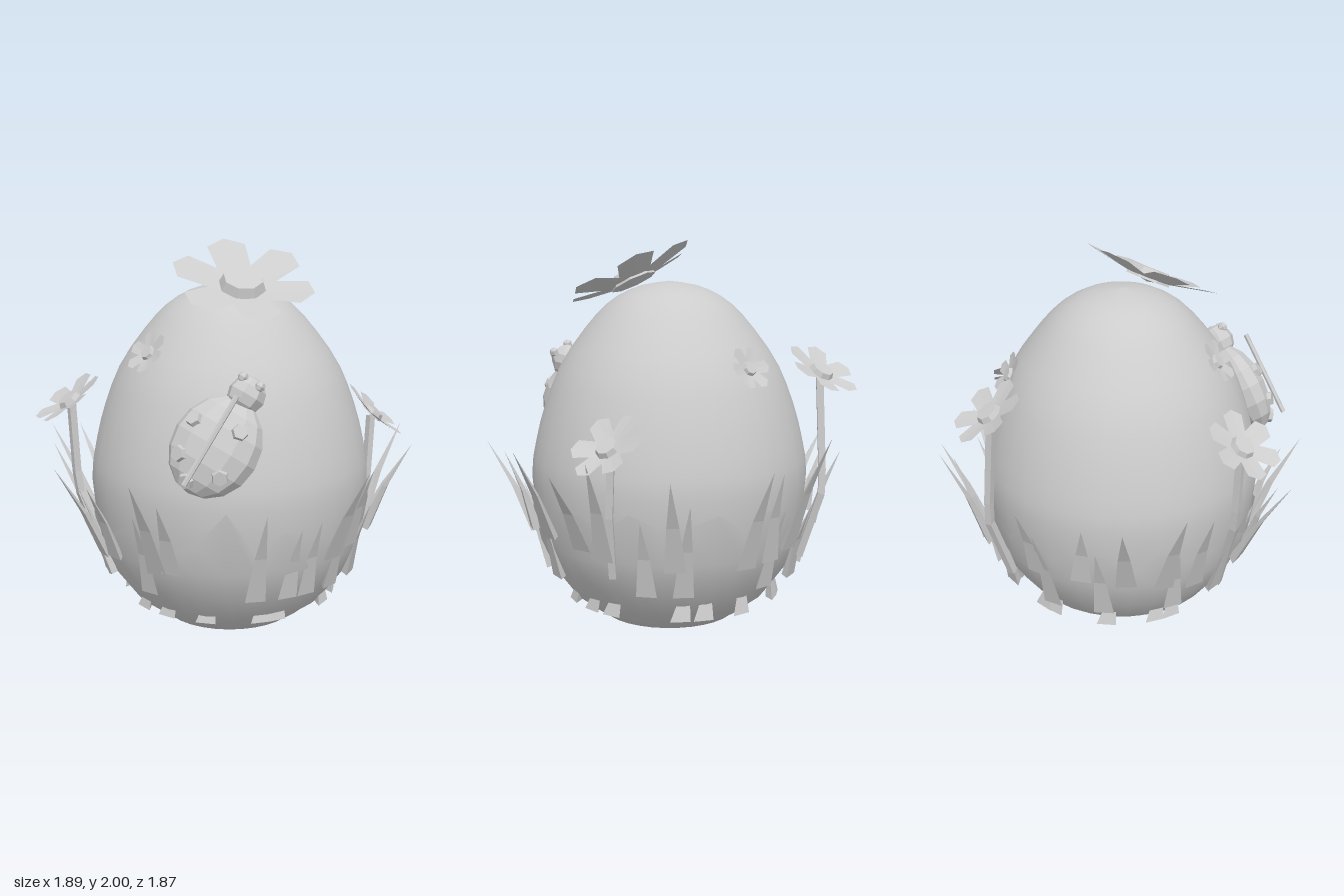
import * as THREE from 'three';

const grey = new THREE.MeshStandardMaterial({ color: 0xcccccc, side: THREE.DoubleSide });
grey.name = 'plain grey';
const V = (x, y, z) => new THREE.Vector3(x, y, z);
const UP = V(0, 1, 0);
const polar = (deg, r, y) => V(r * Math.sin(deg * Math.PI / 180), y, r * Math.cos(deg * Math.PI / 180));

// Faceted copy of a geometry
function flat(geo) {
  const g = geo.index ? geo.toNonIndexed() : geo;
  g.computeVertexNormals();
  return g;
}
function add(parent, name, geo, pos = V(0, 0, 0)) {
  const m = new THREE.Mesh(geo, grey);
  m.name = name;
  m.position.copy(pos);
  parent.add(m);
  return m;
}

// Egg profile: [radius, height]
const eggPoints = [[0, 0.01], [0.33, 0.08], [0.49, 0.2], [0.6, 0.35], [0.665, 0.5], [0.71, 0.8],
  [0.685, 1], [0.63, 1.2], [0.545, 1.4], [0.4, 1.6], [0.285, 1.71], [0.15, 1.775], [0, 1.8]];
const EGG_CENTRE = V(0.004, 0, 0.022);
function eggRadius(y) {
  const i = eggPoints.findIndex(p => p[1] >= y);
  const [r0, y0] = eggPoints[i - 1], [r1, y1] = eggPoints[i];
  return r0 + (r1 - r0) * (y - y0) / (y1 - y0);
}

// Leaf cup around the lower egg: its top row is moved to a ragged rim with one tall front leaf
function cupGeometry() {
  const cols = 32, ys = [0, 0.08, 0.2, 0.35, 0.5, 0.62];
  const geo = new THREE.LatheGeometry(
    ys.map((y, i) => new THREE.Vector2(i ? eggRadius(y) + 0.016 : 0, y)), cols);
  const p = geo.attributes.position;
  for (let i = ys.length - 1; i < p.count; i += ys.length) {
    const col = Math.floor(i / ys.length) % cols, deg = col * 360 / cols;
    const y = col === 1 ? 0.82 : 0.68 - 0.03 * Math.cos((deg + 40) * Math.PI / 180) + 0.05 * Math.sin(col * 2.4);
    p.setXYZ(i, ...polar(deg, eggRadius(y) + 0.02, y).toArray());
  }
  return geo;
}

// Three-sided grass blade, bowed in slightly between base and tip
function bladeGeometry(base, tip, width) {
  const geo = new THREE.CylinderGeometry(0.002, 1, 1, 3, 2);
  const out = V(base.x, 0, base.z).normalize(), side = V().crossVectors(UP, out);
  const p = geo.attributes.position;
  for (let i = 0; i < p.count; i++) {
    const t = p.getY(i) + 0.5, bow = Math.sin(Math.PI * t);
    const v = base.clone().lerp(tip, t)
      .addScaledVector(side, p.getX(i) * width * 0.58 * (1 + 0.15 * bow))
      .addScaledVector(out, -p.getZ(i) * width * 0.32 - 0.015 * bow);
    p.setXYZ(i, v.x, v.y, v.z);
  }
  return flat(geo);
}

// Six-petalled flower with a faceted centre, facing along a normal
function flower(parent, name, pos, normal, R, spin) {
  const g = new THREE.Group();
  g.name = name;
  const outline = [[0.48, -30], [0.88, -18], [0.98, 0], [0.88, 18], [0.48, 30]];
  const verts = [];
  for (let k = 0; k < 6; k++) {
    const pts = outline.map(([r, a]) => polar(90 + k * 60 + a + spin, r * R, r * R * 0.2));
    for (let j = 0; j < 4; j++) verts.push(0, 0, 0, ...pts[j].toArray(), ...pts[j + 1].toArray());
  }
  const petals = new THREE.BufferGeometry();
  petals.setAttribute('position', new THREE.Float32BufferAttribute(verts, 3));
  add(g, 'petals', flat(petals));
  add(g, 'flowerCentre', flat(new THREE.CylinderGeometry(R * 0.27, R * 0.34, R * 0.16, 8)), V(0, R * 0.11, 0));
  g.position.copy(pos);
  g.quaternion.setFromUnitVectors(UP, normal.normalize());
  parent.add(g);
}

function stem(parent, foot, bend, head) {
  const path = new THREE.CurvePath();
  path.add(new THREE.LineCurve3(foot, bend));
  path.add(new THREE.LineCurve3(bend, head));
  add(parent, 'flowerStem', flat(new THREE.TubeGeometry(path, 8, 0.024, 4)));
}

// Beetle in local axes: y toward its head, z out of its back
function beetle() {
  const g = new THREE.Group();
  g.name = 'beetle';
  const body = new THREE.SphereGeometry(1, 12, 8);
  body.scale(0.21, 0.245, 0.125);
  add(g, 'beetleBody', flat(body), V(0, -0.01, 0));
  add(g, 'beetleHead', flat(new THREE.SphereGeometry(0.09, 8, 6)), V(0, 0.265, -0.005));
  for (const s of [-1, 1]) add(g, 'beetleEye', flat(new THREE.SphereGeometry(0.026, 6, 4)), V(s * 0.045, 0.325, 0.045));
  for (const [x, y] of [[-0.13, 0.06], [0.085, 0.11], [0.11, -0.11], [-0.02, -0.2], [-0.11, -0.11]]) {
    const z = 0.125 * Math.sqrt(1 - (x / 0.21) ** 2 - (y / 0.245) ** 2);
    const spot = add(g, 'beetleSpot', flat(new THREE.CylinderGeometry(0.035, 0.042, 0.03, 6)), V(x, y - 0.01, z));
    spot.quaternion.setFromUnitVectors(UP, V(x / 0.044, y / 0.06, z / 0.0156).normalize());
  }
  add(g, 'wingLine', flat(new THREE.CylinderGeometry(0.013, 0.013, 0.46, 6)), V(0, 0, 0.15));
  const up = V(0.45, 0.83, -0.34).normalize();
  const side = V().crossVectors(up, V(0.03, 0.36, 0.93)).normalize();
  g.quaternion.setFromRotationMatrix(new THREE.Matrix4().makeBasis(side, up, V().crossVectors(side, up)));
  g.position.set(0.095, 1.14, 0.705);
  return g;
}

// Three tiers of grass: tall outer blades, shorter ones, and low stubs
function grass() {
  const g = new THREE.Group();
  g.name = 'grass';
  // Tall tips: angle, radius, height
  const tall = [[-16, 0.95, 0.98], [-10, 0.87, 0.87], [55, 0.95, 1], [64, 0.87, 0.97], [86, 0.94, 1.03],
    [102, 0.94, 0.95], [114, 0.93, 1.03], [138, 0.89, 0.95], [169, 0.91, 0.98], [176, 0.85, 0.95],
    [190, 0.95, 1.1], [221, 0.86, 0.95], [243, 0.83, 0.92], [256, 0.93, 0.97], [274, 0.95, 1.03],
    [284, 0.91, 0.97], [314, 0.98, 0.97], [321, 0.87, 0.88]];
  tall.forEach(([a, r, y], i) => {
    const baseY = 0.53 - 0.05 * Math.cos(i * 0.8), lean = 2 * Math.sin(i * 3);
    add(g, 'tallBlade', bladeGeometry(polar(a + lean, eggRadius(baseY) + 0.05, baseY), polar(a, r, y), 0.105));
  });
  [-23, 23, 37, 46, 60, 79, 128, 143, 180, 201, 226, 249, 279, 303].forEach((a, i) => {
    const tip = polar(a + 2 * Math.sin(i), 0.79 + 0.03 * Math.sin(i * 2), 0.77 + 0.06 * Math.sin(i * 2));
    add(g, 'shortBlade', bladeGeometry(polar(a, eggRadius(0.35) + 0.05, 0.35), tip, 0.1));
  });
  // Stub tips sink into the cup
  for (let i = 0; i < 16; i++) {
    const a = i * 22.5 + 8 * Math.sin(i * 2.3);
    add(g, 'grassStub', bladeGeometry(polar(a, eggRadius(0.19) + 0.06, 0.19), polar(a + 4, 0.54, 0.38), 0.1));
  }
  return g;
}

export function createModel() {
  const model = new THREE.Group();
  model.name = 'decoratedEgg';
  const profile = new THREE.SplineCurve(eggPoints.map(([r, y]) => new THREE.Vector2(r, y))).getPoints(26);
  add(model, 'egg', new THREE.LatheGeometry(profile, 32), EGG_CENTRE);
  add(model, 'leafCup', cupGeometry(), EGG_CENTRE);
  model.add(grass());

  // Flowers on top, on the shell and on stems
  flower(model, 'topFlower', V(0.1, 1.78, 0.18), V(0.21, 1, 0.47), 0.36, 0);
  flower(model, 'frontShellFlower', V(-0.305, 1.49, 0.41), V(-0.48, 0.6, 0.64), 0.12, 15);
  flower(model, 'backShellFlower', V(0, 1.4, -0.545), V(0, 0.5, -0.86), 0.12, 0);
  flower(model, 'rightStemFlower', V(-0.71, 1.23, 0.4), V(-0.48, 0.8, 0.3), 0.195, 10);
  flower(model, 'leftStemFlower', V(0.69, 1.07, -0.35), V(0.66, 0.74, -0.1), 0.195, -5);
  flower(model, 'backStemFlower', V(-0.335, 1.365, -0.7), V(-0.08, 0.82, -0.56), 0.195, 0);
  stem(model, V(-0.52, 0.35, 0.39), V(-0.69, 0.8, 0.4), V(-0.71, 1.22, 0.4));
  stem(model, V(0.63, 0.44, -0.29), V(0.68, 0.75, -0.33), V(0.69, 1.06, -0.36));
  stem(model, V(-0.29, 0.45, -0.63), V(-0.33, 0.8, -0.74), V(-0.335, 1.36, -0.7));

  model.add(beetle());
  return model;
}
